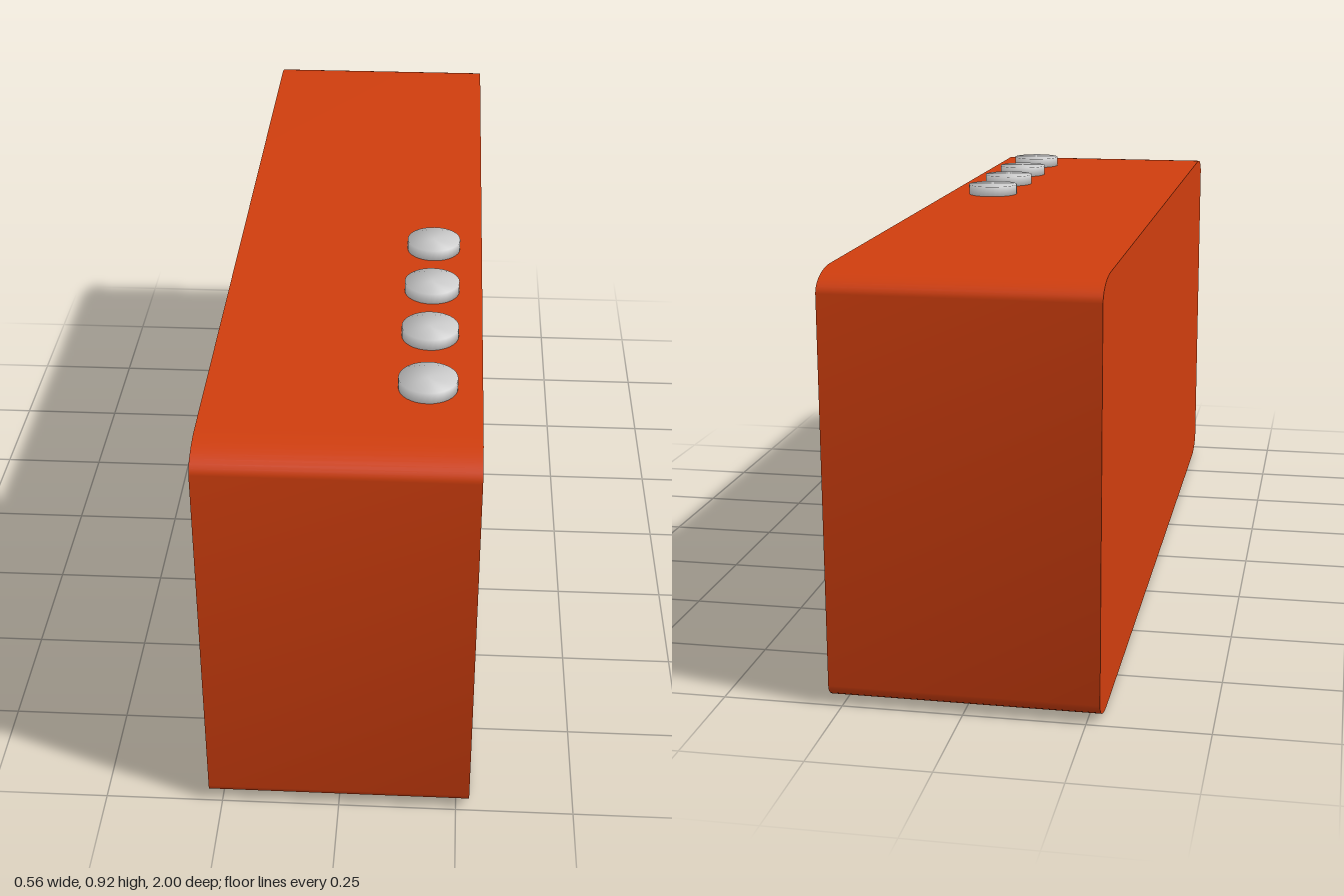
import * as THREE from 'three';
import { toCreasedNormals, mergeVertices } from 'three/addons/utils/BufferGeometryUtils.js';

const MID_Y = 0.446;

// Rounded rectangle in the yz plane with elliptical corners, as [z, y] pairs
function outline(halfZ, halfY, rz, ry, steps = 10) {
  const pts = [];
  for (let corner = 0; corner < 4; corner++) {
    const sz = corner === 0 || corner === 3 ? 1 : -1;
    const sy = corner < 2 ? 1 : -1;
    for (let i = 0; i <= steps; i++) {
      const a = (corner + i / steps) * Math.PI / 2;
      pts.push([sz * (halfZ - rz) + rz * Math.cos(a), MID_Y + sy * (halfY - ry) + ry * Math.sin(a)]);
    }
  }
  return pts;
}

// Joins cross-sections placed along x into one skin
function loft(rings) {
  const pos = [];
  for (let k = 0; k < rings.length - 1; k++) {
    const [a, b] = [rings[k], rings[k + 1]];
    const n = a.pts.length;
    for (let j = 0; j < n; j++) {
      const m = (j + 1) % n;
      const p = [a.x, a.pts[j][1], a.pts[j][0]];
      const q = [a.x, a.pts[m][1], a.pts[m][0]];
      const r = [b.x, b.pts[j][1], b.pts[j][0]];
      const s = [b.x, b.pts[m][1], b.pts[m][0]];
      if (!b.point) pos.push(...p, ...r, ...s);
      if (!a.point) pos.push(...p, ...s, ...q);
    }
  }
  const geo = new THREE.BufferGeometry();
  geo.setAttribute('position', new THREE.Float32BufferAttribute(pos, 3));
  return toCreasedNormals(geo, 0.7);
}

export function createModel() {
  const model = new THREE.Group();
  model.name = 'boxSpeaker';
  const orange = new THREE.MeshStandardMaterial({ color: 0xd03e0e });
  const grey = new THREE.MeshStandardMaterial({ color: 0xcccccc });

  // Cabinet: closed on the right side, shallow recessed panel on the left
  const outer = outline(1, 0.446, 0.1, 0.042);
  const inner = outline(0.935, 0.42, 0.014, 0.01);
  const centre = outer.map(() => [0, MID_Y]);
  const cabinet = new THREE.Mesh(loft([
    { x: -0.278, pts: centre, point: true },
    { x: -0.278, pts: outer },
    { x: 0.278, pts: outer },
    { x: 0.278, pts: inner },
    { x: 0.244, pts: inner },
    { x: 0.244, pts: centre, point: true },
  ]), orange);
  cabinet.name = 'cabinet';
  model.add(cabinet);

  // Row of buttons with softly shaded rims
  let buttonGeo = new THREE.CylinderGeometry(0.06, 0.06, 0.035, 32);
  buttonGeo.deleteAttribute('uv');
  buttonGeo.deleteAttribute('normal');
  buttonGeo = mergeVertices(buttonGeo);
  buttonGeo.computeVertexNormals();
  const buttons = new THREE.Group();
  buttons.name = 'buttons';
  [0.13, 0.33, 0.525, 0.73].forEach((z, i) => {
    const button = new THREE.Mesh(buttonGeo, grey);
    button.name = `button${i + 1}`;
    button.position.set(0.168, 0.8985, z);
    buttons.add(button);
  });
  model.add(buttons);

  return model;
}
